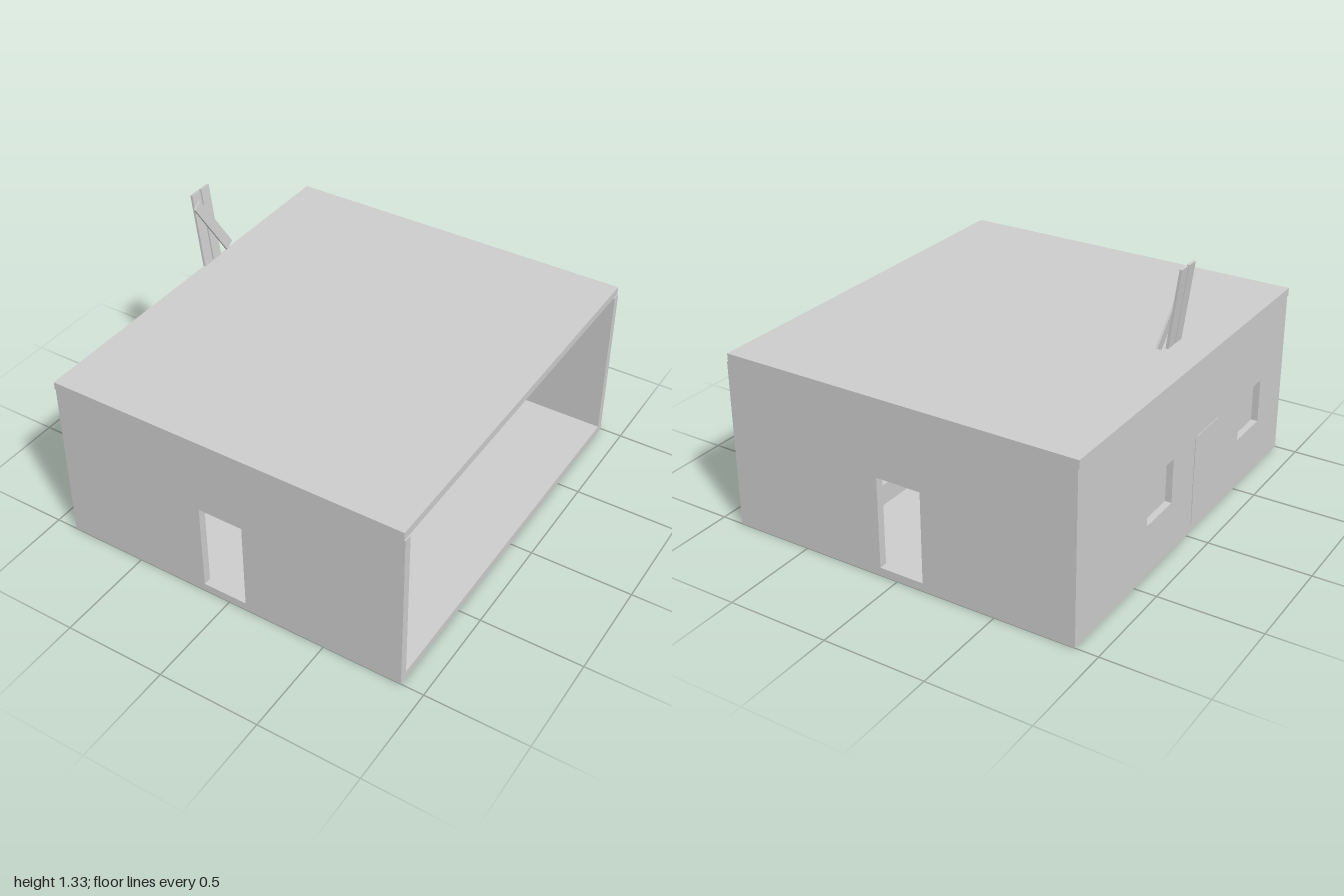
import * as THREE from 'three';

export function createModel() {
  const model = new THREE.Group();
  const grey = new THREE.MeshStandardMaterial({ color: 0xcccccc });
  grey.name = 'plain grey';

  function add(name, geometry, parent = model) {
    const mesh = new THREE.Mesh(geometry, grey);
    mesh.name = name;
    parent.add(mesh);
    return mesh;
  }
  function group(name) {
    const g = new THREE.Group();
    g.name = name;
    model.add(g);
    return g;
  }
  // box given by its low and high limits on each axis
  function box(name, x, y, z, parent) {
    const m = add(name, new THREE.BoxGeometry(x[1] - x[0], y[1] - y[0], z[1] - z[0]), parent);
    m.position.set((x[0] + x[1]) / 2, (y[0] + y[1]) / 2, (z[0] + z[1]) / 2);
    return m;
  }
  const outline = (pts) => pts.map(([u, v]) => new THREE.Vector2(u, v));
  const rect = (u0, u1, v0, v1) => outline([[u0, v0], [u1, v0], [u1, v1], [u0, v1]]);
  // flat shape pushed out along its third axis, optionally with holes
  function slab(points, depth, holes = []) {
    const shape = new THREE.Shape(points);
    holes.forEach((h) => shape.holes.push(new THREE.Path(h)));
    return new THREE.ExtrudeGeometry(shape, { depth, bevelEnabled: false });
  }
  // slab facing sideways: points are (-z, y), spanning x0 to x1
  function sideSlab(name, points, x0, x1, parent, holes) {
    const g = slab(points, x1 - x0, holes).rotateY(Math.PI / 2);
    return add(name, g.translate(x0, 0, 0), parent);
  }

  // Shell of the room, open on the +x side
  box('floor', [-0.89, 0.89], [0, 0.04], [-1, 1]);
  box('roof', [-0.895, 0.885], [0.83, 0.87], [-1, 1]);
  for (const [name, z] of [['frontWall', 0.96], ['backWall', -1]]) {
    // doorway runs down to the floor, so it is a notch in the outline
    const pts = outline([
      [-0.89, 0.04], [-0.135, 0.04], [-0.135, 0.49], [0.09, 0.49],
      [0.09, 0.04], [0.89, 0.04], [0.89, 0.83], [-0.89, 0.83],
    ]);
    add(name, slab(pts, 0.04).translate(0, 0, z));
  }

  // Side wall with two windows, panes on the inner face and a closed door
  const windows = [[0.17, 0.4], [-0.742, -0.51]];
  sideSlab('sideWall', rect(-0.96, 0.96, 0.04, 0.83), -0.89, -0.85, model,
    windows.map(([a, b]) => rect(a, b, 0.26, 0.48)));
  box('windowPane', [-0.858, -0.85], [0.26, 0.48], [-0.392, -0.17]);
  box('windowPane', [-0.858, -0.85], [0.26, 0.48], [0.51, 0.739]);
  box('sideDoor', [-0.893, -0.888], [0.04, 0.49], [0.04, 0.27]);

  // Sofa facing -x, with rolled arms
  const sofa = group('sofa');
  sideSlab('sofaBack', outline([
    [0.225, 0.075], [0.73, 0.075], [0.735, 0.25], [0.722, 0.27], [0.718, 0.28],
    [0.708, 0.28], [0.706, 0.3], [0.245, 0.3], [0.243, 0.28], [0.23, 0.27], [0.225, 0.25],
  ]), 0.39, 0.435, sofa);
  box('sofaSeat', [0.36, 0.39], [0.075, 0.18], [-0.71, -0.25], sofa);
  for (const side of [-1, 1]) {
    const mid = -0.478;
    const roll = add('armRoll', new THREE.CylinderGeometry(0.037, 0.037, 0.08, 20), sofa);
    roll.rotation.z = Math.PI / 2;
    roll.position.set(0.395, 0.212, mid + side * 0.241);
    const z = [mid + side * 0.262, mid + side * 0.225].sort((a, b) => a - b);
    box('armPanel', [0.355, 0.435], [0.07, 0.21], z, sofa);
    for (const x of [0.357, 0.415]) box('sofaFoot', [x, x + 0.02], [0.04, 0.075], z, sofa);
  }

  // Low media console with a screen on a stand
  const media = group('mediaUnit');
  sideSlab('console', outline([
    [-0.435, 0.09], [-0.405, 0.09], [-0.392, 0.107], [0.0, 0.107], [0.015, 0.09],
    [0.045, 0.09], [0.045, 0.222], [0.01, 0.222], [-0.01, 0.216], [-0.385, 0.216],
    [-0.4, 0.222], [-0.435, 0.222],
  ]), 0.31, 0.386, media);
  box('screen', [0.365, 0.383], [0.238, 0.4], [0.042, 0.352], media);
  box('screenNeck', [0.368, 0.38], [0.222, 0.24], [0.187, 0.207], media);
  box('screenBase', [0.35, 0.384], [0.214, 0.228], [0.13, 0.265], media);

  // Wardrobe with an arched crown
  sideSlab('wardrobe', outline([
    [0.52, 0.045], [0.803, 0.045], [0.803, 0.552], [0.76, 0.556], [0.735, 0.57],
    [0.7, 0.58], [0.66, 0.587], [0.625, 0.58], [0.59, 0.57], [0.565, 0.556], [0.52, 0.552],
  ]), -0.84, -0.74);

  // Leaning planks above the roof
  const planks = group('planks');
  planks.position.set(-0.825, 1.148, 0);
  planks.rotation.z = 0.13;
  box('uprightPlank', [-0.008, 0.004], [-0.187, 0.187], [-0.043, 0.016], planks);
  box('uprightPlank', [-0.008, 0.004], [-0.187, 0.187], [-0.11, -0.052], planks);
  const brace = add('bracePlank', new THREE.BoxGeometry(0.01, 0.345, 0.053), planks);
  brace.position.set(0.009, -0.018, -0.085);
  brace.rotation.x = 0.53;

  return model;
}
